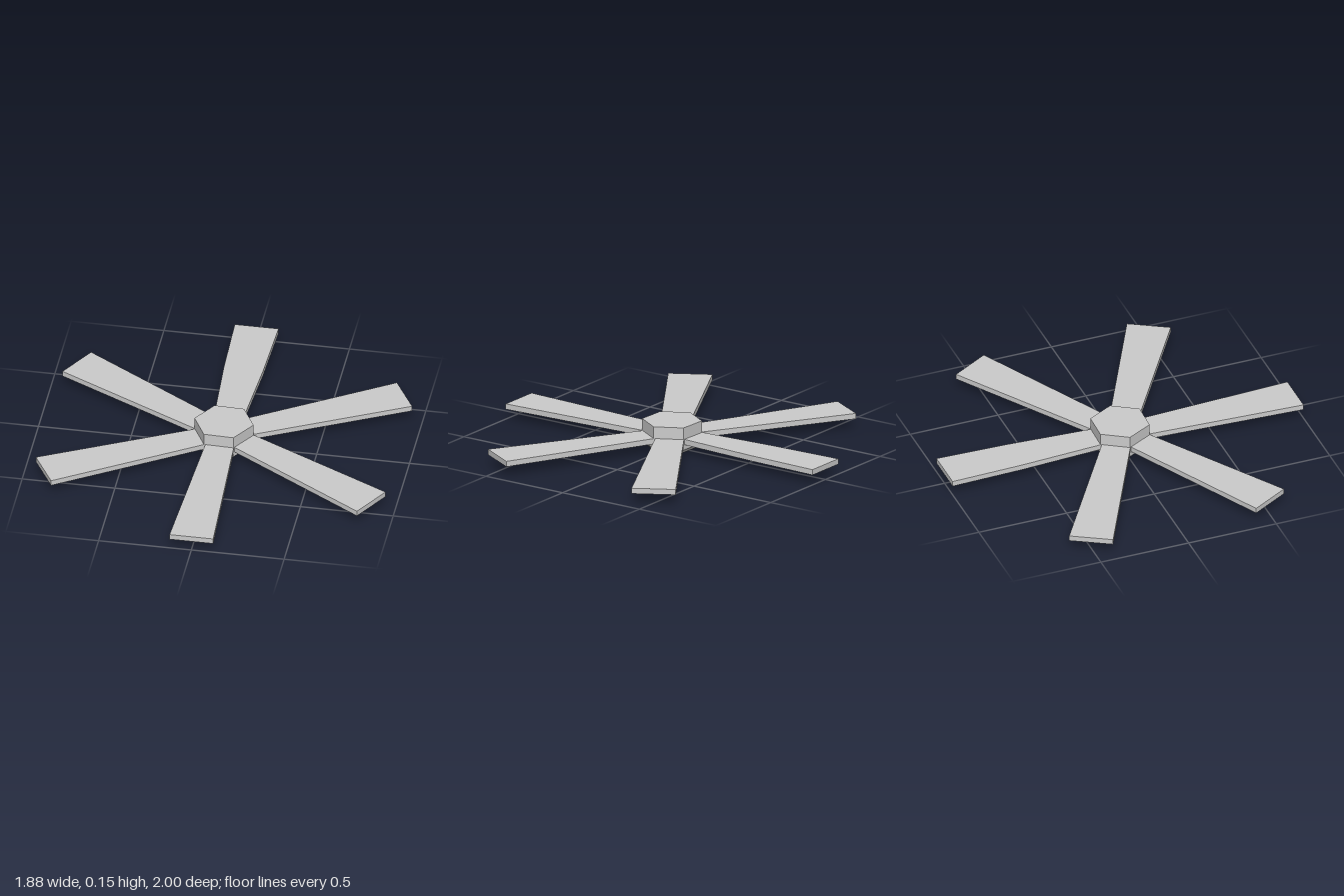
import * as THREE from 'three';

const V = (x, y) => new THREE.Vector2(x, y);

// Flat tapered blade lying along +x; halfWidths is a list of [distance, halfWidth]
function bladeGeometry(halfWidths) {
  const lower = halfWidths.map(([r, w]) => V(r, -w));
  const upper = halfWidths.map(([r, w]) => V(r, w)).reverse();
  const geometry = new THREE.ExtrudeGeometry(new THREE.Shape([...lower, ...upper]), {
    depth: 0.03, bevelEnabled: false,
  });
  return geometry.rotateX(-Math.PI / 2).translate(0, 0.055, 0);
}

export function createModel() {
  const group = new THREE.Group();
  const material = new THREE.MeshStandardMaterial({ color: 0xcccccc, flatShading: true });

  // Six-sided hub with a chamfered underside, turned slightly off the blade axes
  const profile = [V(0, 0), V(0.13, 0), V(0.16, 0.027), V(0.16, 0.15), V(0, 0.15)];
  const hub = new THREE.Mesh(new THREE.LatheGeometry(profile, 6), material);
  hub.name = 'hub';
  hub.rotation.y = Math.PI / 2 - THREE.MathUtils.degToRad(2);
  group.add(hub);

  // Six blades; the front and back ones are a little shorter,
  // and the back one widens sooner
  for (let i = 0; i < 6; i++) {
    const angle = 30 + i * 60;
    const length = angle % 180 === 90 ? 1 : 1.02;
    const outline = [[0.05, 0.073], [length, 0.118]];
    if (angle === 90) outline.splice(1, 0, [0.6, 0.106]);
    const blade = new THREE.Mesh(bladeGeometry(outline), material);
    blade.name = `blade${i + 1}`;
    blade.rotation.y = THREE.MathUtils.degToRad(angle);
    group.add(blade);
  }
  return group;
}
